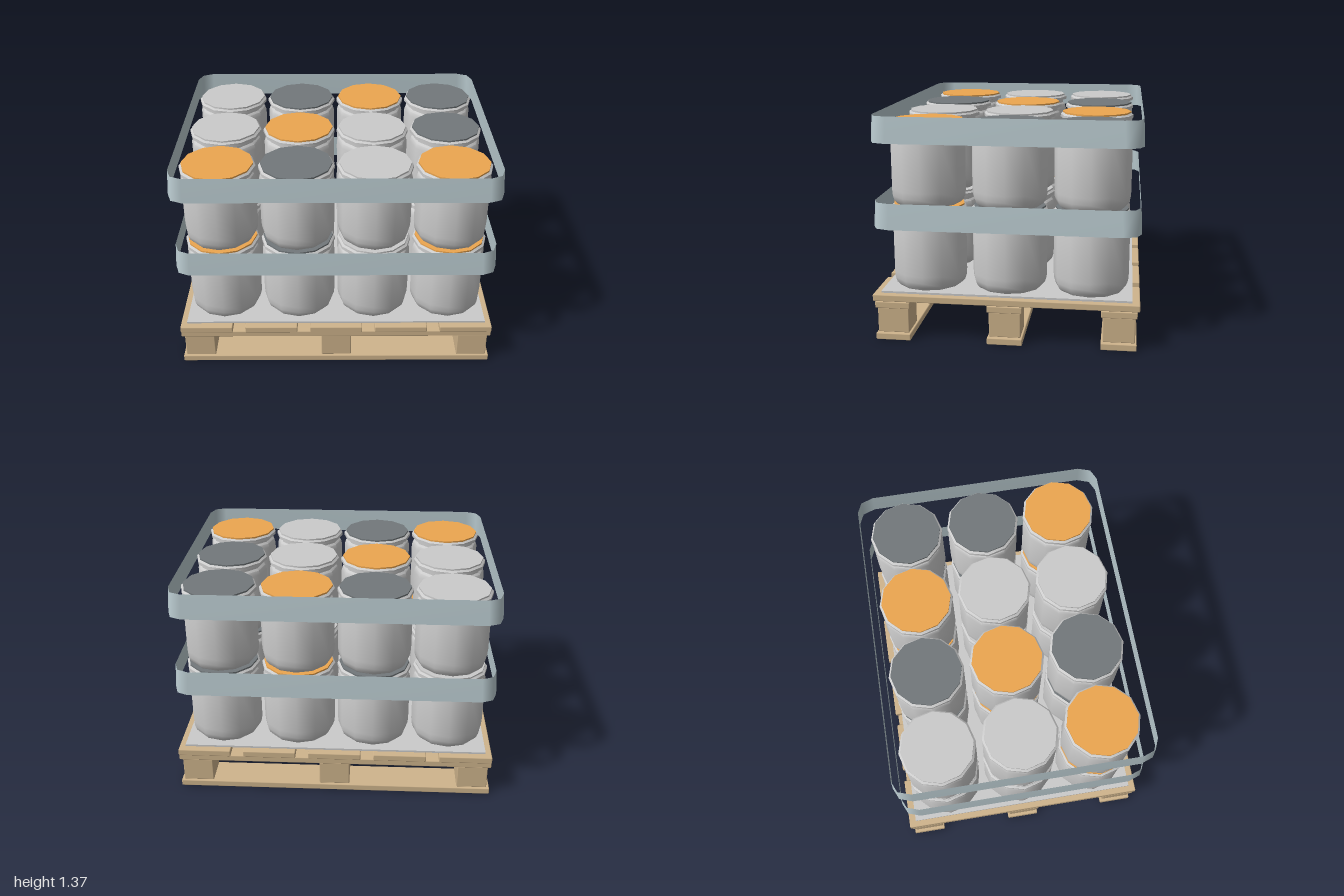
import * as THREE from 'three';
import { toCreasedNormals } from 'three/addons/utils/BufferGeometryUtils.js';
import { RoundedBoxGeometry } from 'three/addons/geometries/RoundedBoxGeometry.js';

const wood = new THREE.MeshStandardMaterial({ color: 0xcfb48c });
const grey = new THREE.MeshStandardMaterial({ color: 0xcccccc });
const orange = new THREE.MeshStandardMaterial({ color: 0xeca650 });
const dark = new THREE.MeshStandardMaterial({ color: 0x72787b });
const strap = new THREE.MeshStandardMaterial({ color: 0xbccdd2, side: THREE.DoubleSide });

function add(parent, name, geometry, material, x = 0, y = 0, z = 0) {
  const mesh = new THREE.Mesh(geometry, material);
  mesh.name = name;
  mesh.position.set(x, y, z);
  parent.add(mesh);
  return mesh;
}

// Plank or block with a small eased edge
const plank = (w, h, d) => new RoundedBoxGeometry(w, h, d, 1, 0.006);

function createPallet() {
  const pallet = new THREE.Group();
  pallet.name = 'pallet';
  const runner = plank(1.99, 0.042, 0.213);
  const block = plank(0.192, 0.157, 0.192);
  const deck = plank(0.333, 0.042, 1.6);
  for (const z of [-0.68, 0, 0.68]) {
    add(pallet, 'bottomBoard', runner, wood, 0, 0.021, z);
    add(pallet, 'stringerBoard', runner, wood, 0, 0.223, z);
    for (const x of [-0.88, 0, 0.88]) add(pallet, 'block', block, wood, x, 0.122, z);
  }
  for (let i = -2; i <= 2; i++) add(pallet, 'deckBoard', deck, wood, i * 0.414, 0.266, 0);
  return pallet;
}

// Tub body: rounded foot, straight wall, shoulder, neck and rolled rim
const tubProfile = [
  [0, 0], [0.2, 0], [0.217, 0.02], [0.227, 0.05], [0.23, 0.09], [0.23, 0.40],
  [0.222, 0.428], [0.208, 0.44], [0.208, 0.46], [0.233, 0.465], [0.233, 0.485],
  [0.22, 0.495], [0, 0.495],
].map(([r, y]) => new THREE.Vector2(r, y));
const tubGeometry = toCreasedNormals(new THREE.LatheGeometry(tubProfile, 12), 0.62);
const lidGeometry = toCreasedNormals(new THREE.CylinderGeometry(0.22, 0.22, 0.012, 12), 0.62);

function createTub(lidMaterial) {
  const tub = new THREE.Group();
  tub.name = 'tub';
  add(tub, 'tubBody', tubGeometry, grey);
  add(tub, 'tubLid', lidGeometry, lidMaterial, 0, 0.499, 0);
  return tub;
}

// Thin retaining band: a rectangle with two-step corners, drawn in at the top
function bandGeometry(height) {
  const corner = [[0.995, 0.69], [0.968, 0.768], [0.9, 0.798]];
  const flip = [...corner].reverse();
  const ring = [
    ...corner,
    ...flip.map(([x, z]) => [-x, z]),
    ...corner.map(([x, z]) => [-x, -z]),
    ...flip.map(([x, z]) => [x, -z]),
  ];
  const n = ring.length, positions = [], index = [];
  for (const [x, z] of ring) {
    positions.push(x, 0, z, x * 0.99, height, z * 0.99);
  }
  for (let i = 0; i < n; i++) {
    const a = 2 * i, b = 2 * ((i + 1) % n);
    index.push(a, a + 1, b, b, a + 1, b + 1);
  }
  const geometry = new THREE.BufferGeometry();
  geometry.setAttribute('position', new THREE.Float32BufferAttribute(positions, 3));
  geometry.setIndex(index);
  geometry.computeVertexNormals();
  return geometry;
}

export function createModel() {
  const model = new THREE.Group();
  model.name = 'loadedPallet';
  model.add(createPallet());
  add(model, 'baseSheet', new THREE.BoxGeometry(1.91, 0.012, 1.51), grey, 0, 0.293, 0);

  // Lid colours by row, back to front
  const lids = { g: grey, d: dark, o: orange };
  const rows = ['gdod', 'gogd', 'odgo'];
  const band = bandGeometry(0.157);
  for (let layer = 0; layer < 2; layer++) {
    const y = 0.299 + layer * 0.515;
    const group = new THREE.Group();
    group.name = layer ? 'upperLayer' : 'lowerLayer';
    rows.forEach((row, r) => [...row].forEach((key, c) => {
      const tub = createTub(lids[key]);
      tub.position.set((c - 1.5) * 0.48, y, (r - 1) * 0.5);
      group.add(tub);
    }));
    add(group, 'retainingBand', band, strap, 0, y + 0.394, 0);
    model.add(group);
  }
  return model;
}
